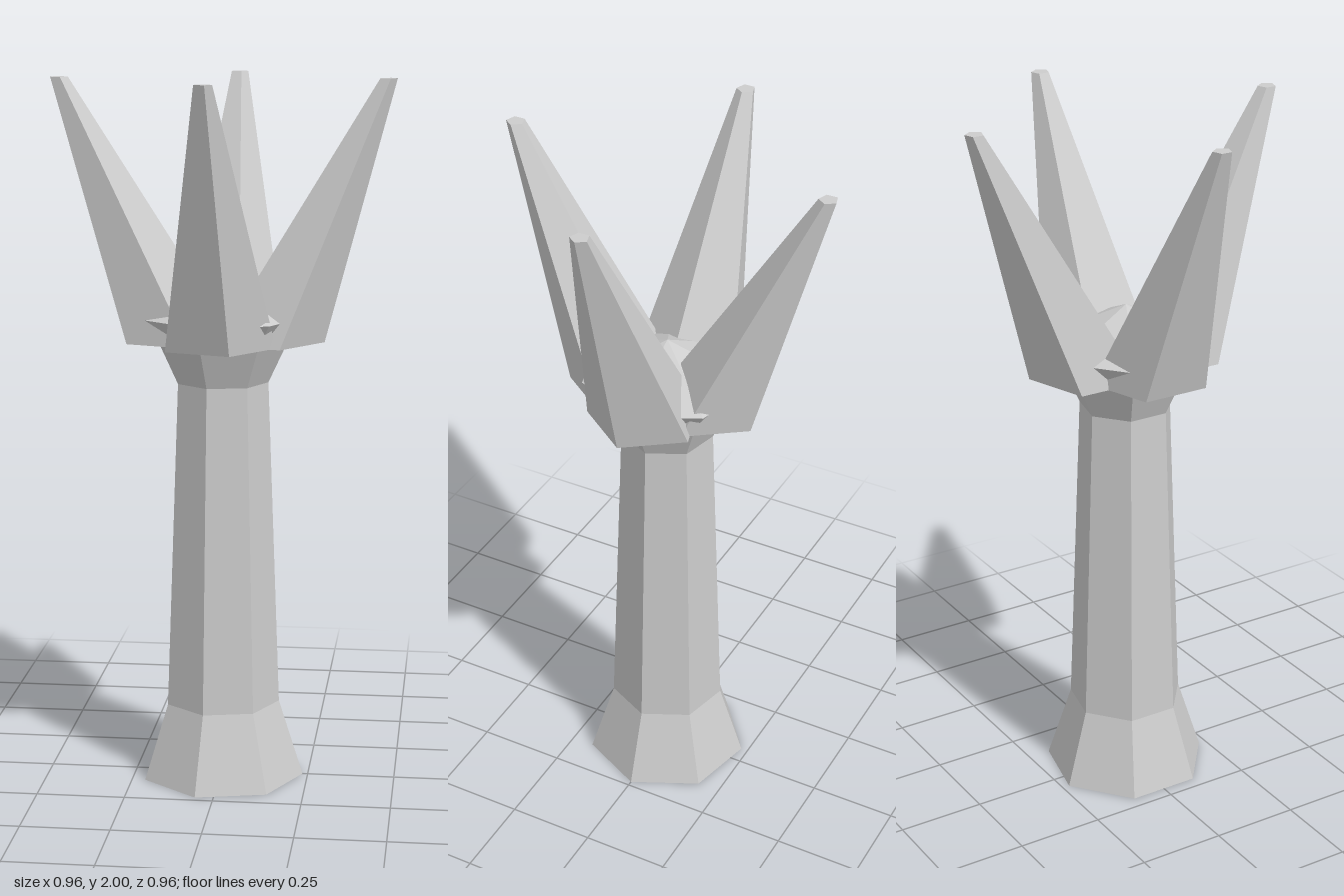
import * as THREE from 'three';

const SIDES = 7;

// Faceted solid turned from [radius, y] points, with one corner on +x
function turned(name, profile, material) {
  const points = profile.map(([r, y]) => new THREE.Vector2(r, y));
  const geometry = new THREE.LatheGeometry(points, SIDES).rotateY(Math.PI / 2);
  const mesh = new THREE.Mesh(geometry, material);
  mesh.name = name;
  return mesh;
}

// Five-sided spike leaning outwards, its two ends staying level
function spike(name, dx, dz, material) {
  const bottom = 1.27, top = 2, inner = 0.125, outer = 0.455;
  const geometry = new THREE.CylinderGeometry(0.026, 0.163, top - bottom, 5);
  geometry.rotateY(Math.PI / 2).translate(0, (top + bottom) / 2, 0);
  const pos = geometry.attributes.position;
  for (let i = 0; i < pos.count; i++) {
    const t = (pos.getY(i) - bottom) / (top - bottom);
    const lean = THREE.MathUtils.lerp(inner, outer, t);
    pos.setX(i, pos.getX(i) + dx * lean);
    pos.setZ(i, pos.getZ(i) + dz * lean);
  }
  geometry.computeVertexNormals();
  const mesh = new THREE.Mesh(geometry, material);
  mesh.name = name;
  return mesh;
}

export function createModel() {
  const model = new THREE.Group();
  model.name = 'spikedColumn';
  const grey = new THREE.MeshStandardMaterial({ color: 0xcccccc, flatShading: true });
  grey.name = 'grey';

  // Column with a flared foot
  model.add(turned('column', [[0, 0], [0.235, 0], [0.165, 0.22], [0.13, 1.18], [0, 1.18]], grey));

  // Head swelling out of the column, closed by a low dome
  model.add(turned('head', [[0, 1.13], [0.12, 1.13], [0.185, 1.27], [0.238, 1.34], [0.15, 1.385], [0, 1.45]], grey));

  // Crown of four spikes
  const directions = { leftSpike: [1, 0], rightSpike: [-1, 0], frontSpike: [0, 1], backSpike: [0, -1] };
  for (const [name, [dx, dz]] of Object.entries(directions)) model.add(spike(name, dx, dz, grey));

  return model;
}
